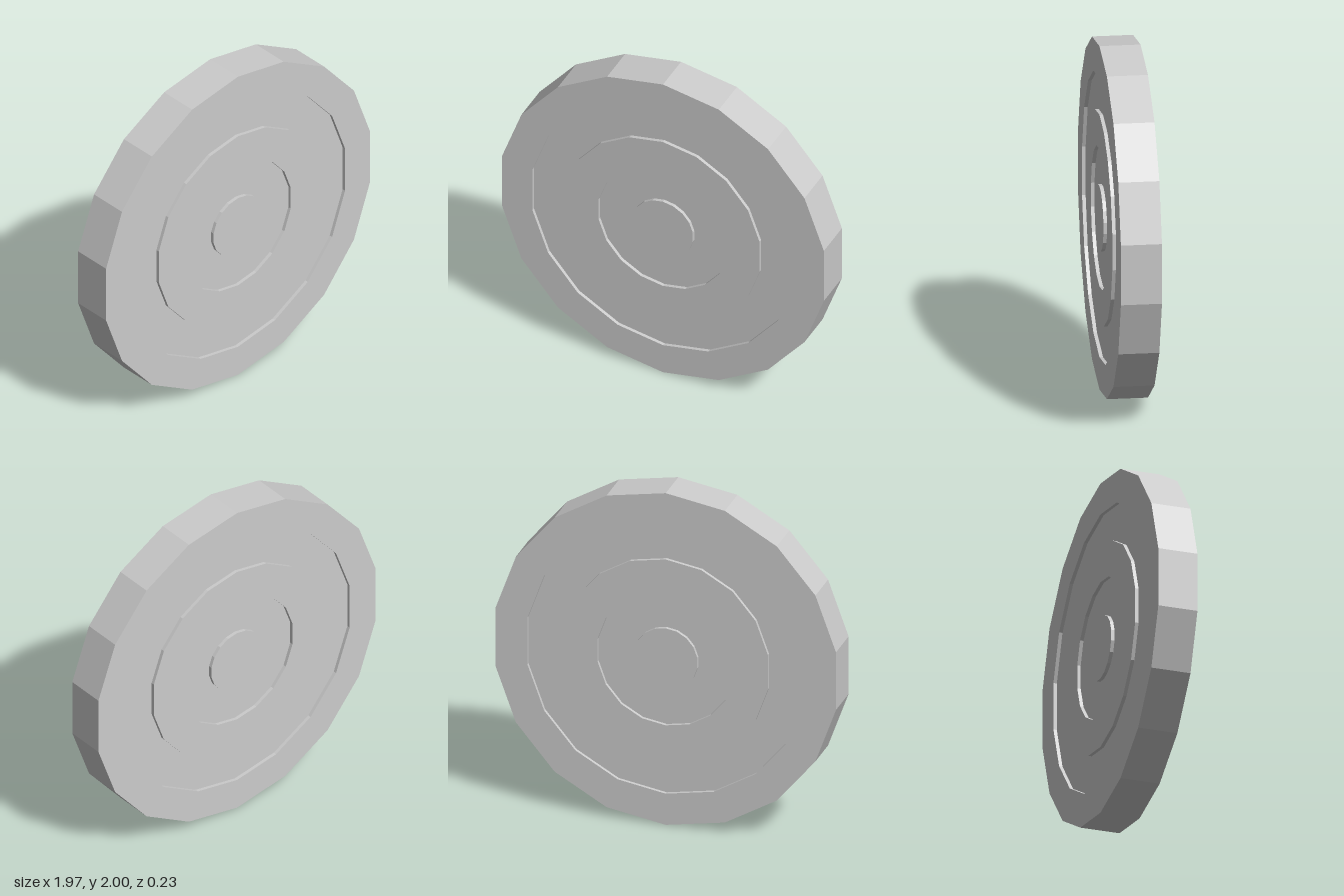
import * as THREE from 'three';

const SIDES = 18;
const HALF = 0.114;   // half thickness of the disc
const DEPTH = 0.02;   // groove depth

export function createModel() {
  const group = new THREE.Group();
  group.name = 'groovedDisc';

  // One face from centre to rim: raised boss, groove, raised ring, groove, raised rim
  const floor = HALF - DEPTH;
  const face = [
    [0, HALF], [0.185, HALF], [0.185, floor], [0.4, floor], [0.4, HALF],
    [0.6, HALF], [0.6, floor], [0.812, floor], [0.812, HALF], [1, HALF],
  ];

  // Back face outwards, then front face inwards
  const back = face.map(([r, h]) => new THREE.Vector2(r, -h));
  const front = face.map(([r, h]) => new THREE.Vector2(r, h)).reverse();
  const geometry = new THREE.LatheGeometry([...back, ...front], SIDES);
  geometry.rotateX(Math.PI / 2); // stand the disc upright, facing +z

  const disc = new THREE.Mesh(
    geometry,
    new THREE.MeshStandardMaterial({ color: 0xcccccc, flatShading: true })
  );
  disc.name = 'disc';
  disc.position.y = 1;
  group.add(disc);
  return group;
}
